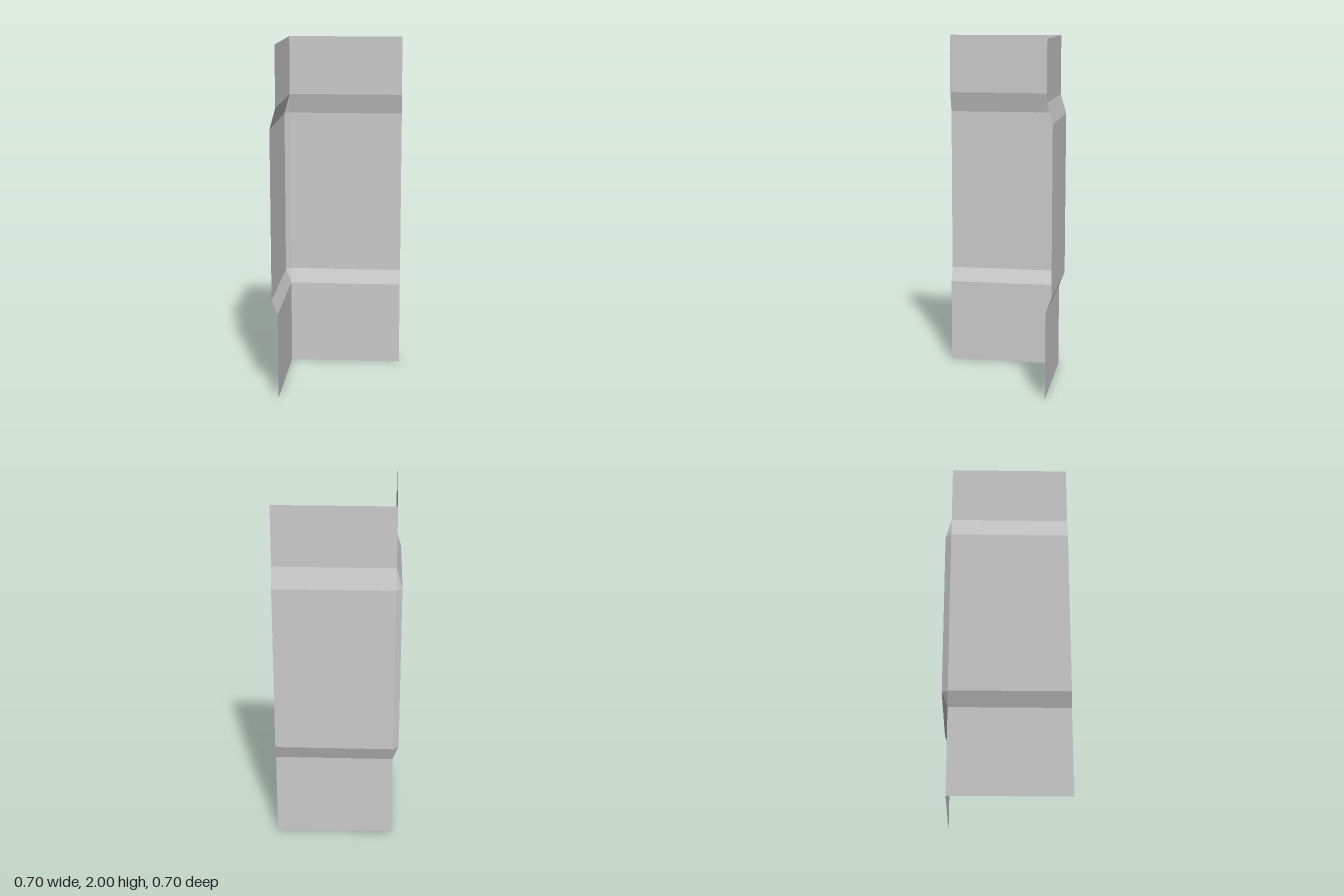
import * as THREE from 'three';

const END = 0.35;    // free edge of each panel
const INNER = -0.317; // plane of the top and bottom bands
const OUTER = -0.35;  // plane of the raised middle

// Vertical profile shared by both panels: [plane, height]
const PROFILE = [[INNER, 0], [INNER, 0.495], [OUTER, 0.578], [OUTER, 1.543], [INNER, 1.659], [INNER, 2]];

const material = new THREE.MeshStandardMaterial({ color: 0xcccccc, flatShading: true, side: THREE.DoubleSide });

// Sheet between two vertical polylines; left and right are as seen from outside
function sheet(name, left, right) {
  const pos = [];
  const triangle = (a, b, c) => {
    if (new THREE.Triangle(a, b, c).getArea() > 1e-7) for (const p of [a, b, c]) pos.push(p.x, p.y, p.z);
  };
  for (let i = 0; i < left.length - 1; i++) {
    triangle(left[i], right[i], right[i + 1]);
    triangle(left[i], right[i + 1], left[i + 1]);
  }
  const geometry = new THREE.BufferGeometry();
  geometry.setAttribute('position', new THREE.Float32BufferAttribute(pos, 3));
  geometry.computeVertexNormals();
  const mesh = new THREE.Mesh(geometry, material);
  mesh.name = name;
  return mesh;
}

export function createModel() {
  const column = (fn) => PROFILE.map(([d, y]) => { const [x, z] = fn(d); return new THREE.Vector3(x, y, z); });
  const backEnd = column((d) => [END, d]);
  const backCorner = column((d) => [INNER, d]);
  const sideCorner = column((d) => [d, INNER]);
  const sideEnd = column((d) => [d, END]);

  const group = new THREE.Group();
  group.name = 'cornerPanel';
  group.add(
    sheet('backPanel', backEnd, backCorner),
    sheet('cornerChamfer', backCorner, sideCorner), // tapers to a point at each end
    sheet('rightPanel', sideCorner, sideEnd),
  );
  return group;
}
